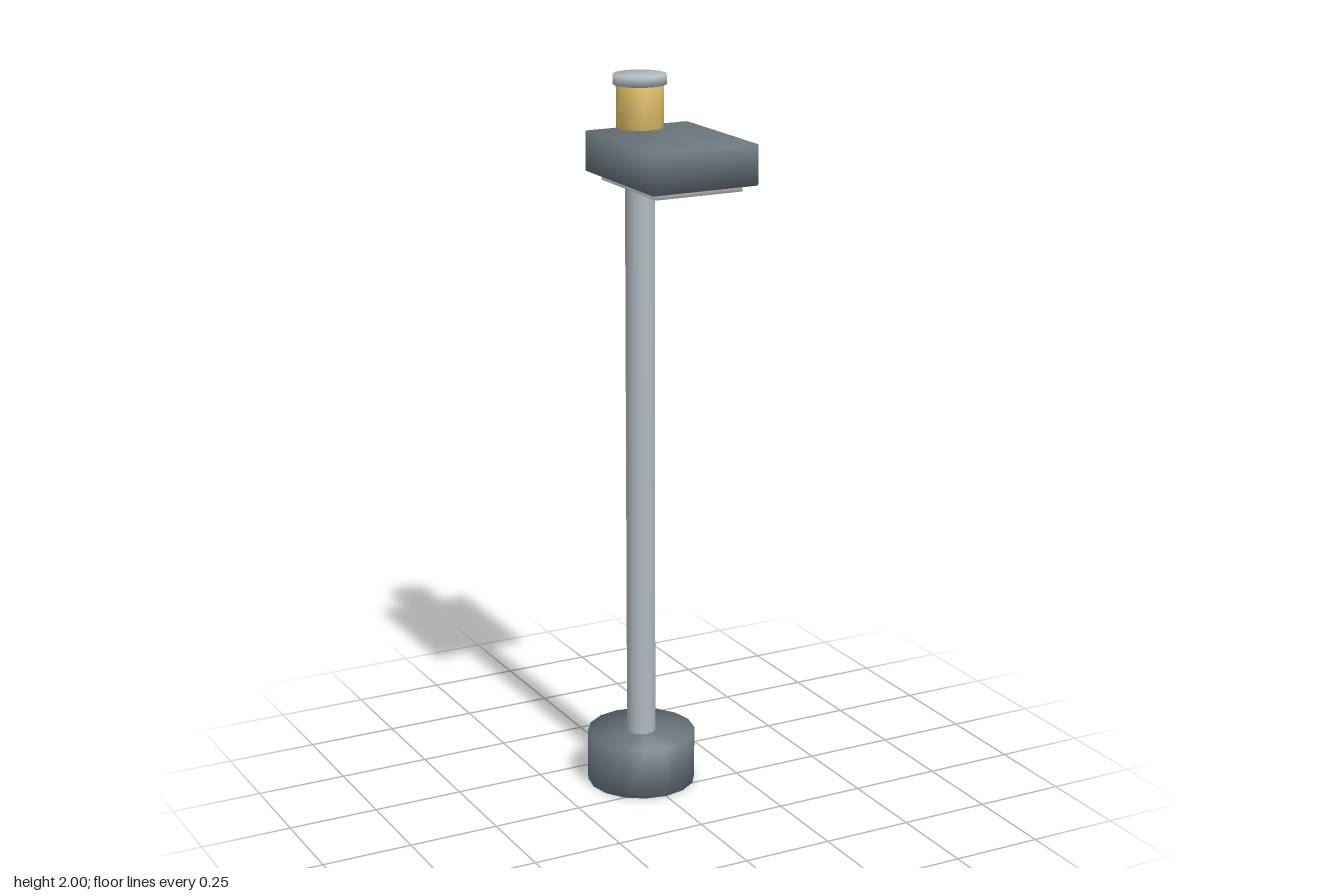
import * as THREE from 'three';
import { mergeVertices } from 'three/addons/utils/BufferGeometryUtils.js';

const POLE_Z = -0.107;

function material(name, color) {
  const m = new THREE.MeshStandardMaterial({ color });
  m.name = name;
  return m;
}

// Weld shared corners so the shading runs smoothly over the edges.
function soften(geometry) {
  geometry.deleteAttribute('normal');
  geometry.deleteAttribute('uv');
  const welded = mergeVertices(geometry, 1e-4);
  welded.computeVertexNormals();
  return welded;
}

export function createModel() {
  const group = new THREE.Group();
  group.name = 'streetLamp';

  const darkSteel = material('dark steel', 0x6c787e);
  const paleSteel = material('pale steel', 0xb0bac0);
  const amber = material('amber', 0xd9b863);
  const lightWhite = material('light white', 0xececec);

  function add(name, geometry, mat, y, z) {
    const mesh = new THREE.Mesh(soften(geometry), mat);
    mesh.name = name;
    mesh.position.set(0, y, z);
    group.add(mesh);
  }

  // Upright drum on the pole axis, from y0 to y1
  function drum(name, radius, y0, y1, sides, mat) {
    add(name, new THREE.CylinderGeometry(radius, radius, y1 - y0, sides), mat, (y0 + y1) / 2, POLE_Z);
  }

  // Base, pole and collar
  drum('base', 0.151, 0, 0.146, 16, darkSteel);
  drum('pole', 0.04, 0.14, 1.8, 16, paleSteel);
  drum('collar', 0.081, 1.772, 1.842, 20, darkSteel);

  // Light sensor with its cap
  drum('sensor', 0.063, 1.835, 1.976, 24, amber);
  drum('sensorCap', 0.071, 1.974, 2, 32, paleSteel);

  // Lamp head reaching forward, with the light panel below
  add('lampHead', new THREE.BoxGeometry(0.302, 0.106, 0.382), darkSteel, 1.807, 0.066);
  add('lightPanel', new THREE.BoxGeometry(0.25, 0.03, 0.307), lightWhite, 1.75, 0.069);

  return group;
}
